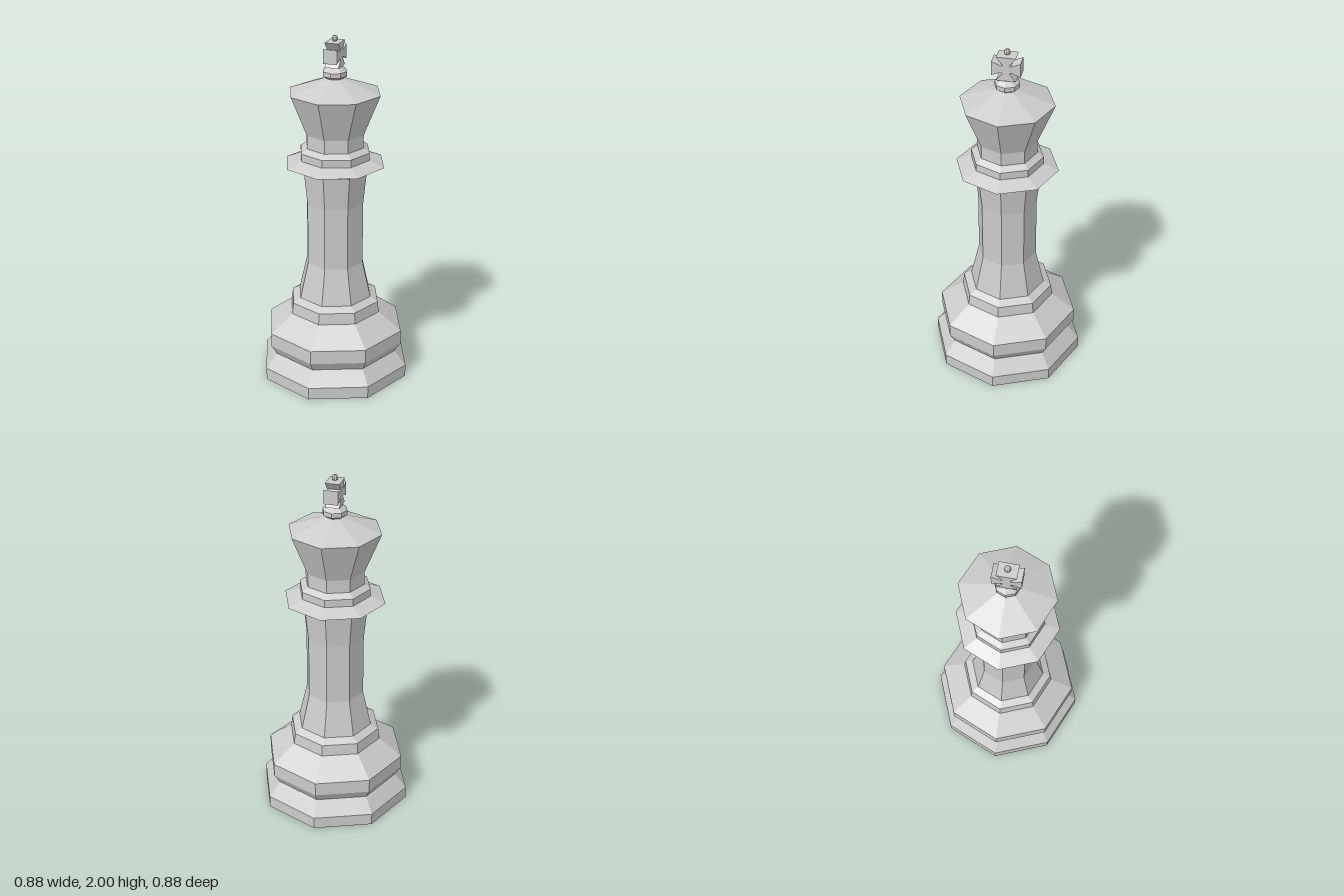
import * as THREE from 'three';

const grey = new THREE.MeshStandardMaterial({ color: 0xcccccc, flatShading: true });

export function createModel() {
  const group = new THREE.Group();
  const add = (name, geometry) => {
    const mesh = new THREE.Mesh(geometry, grey);
    mesh.name = name;
    group.add(mesh);
    return mesh;
  };
  // Eight-sided turned part from [radius, height] pairs, bottom to top
  const turned = (name, profile) =>
    add(name, new THREE.LatheGeometry(profile.map(([r, y]) => new THREE.Vector2(r, y)), 8));

  // Stepped foot
  turned('base', [
    [0, 0], [0.438, 0], [0.438, 0.07], [0.37, 0.153], [0.404, 0.208],
    [0.404, 0.288], [0.27, 0.39], [0.262, 0.455], [0.217, 0.48],
  ]);

  // Waisted column
  turned('shaft', [[0.217, 0.48], [0.168, 0.69], [0.168, 1.05], [0.188, 1.24]]);

  // Wide sharp ring with a smaller band above
  turned('collar', [
    [0.188, 1.24], [0.288, 1.277], [0.203, 1.312], [0.203, 1.355], [0.168, 1.38],
  ]);

  // Flared head with a shallow conical top
  turned('head', [[0.168, 1.38], [0.168, 1.455], [0.261, 1.685], [0.04, 1.765], [0, 1.765]]);

  // Knob under the cross
  turned('knob', [[0.04, 1.758], [0.069, 1.777], [0.069, 1.803], [0.042, 1.828], [0, 1.828]]);

  // Cross with flared arms, lying in the yz plane
  const quarter = [[0.053, 0.068], [0.018, 0.024], [0.026, 0.018], [0.078, 0.04]];
  const mirrored = (sx, sy) => quarter.map(([x, y]) => new THREE.Vector2(x * sx, y * sy));
  const outline = [
    ...mirrored(1, 1).reverse(), ...mirrored(-1, 1),
    ...mirrored(-1, -1).reverse(), ...mirrored(1, -1),
  ];
  const crossGeometry = new THREE.ExtrudeGeometry(new THREE.Shape(outline), {
    depth: 0.078, bevelEnabled: false,
  });
  crossGeometry.translate(0, 0, -0.039).rotateY(Math.PI / 2);
  add('cross', crossGeometry).position.y = 1.897;

  // Small bead on top
  add('finial', new THREE.SphereGeometry(0.018, 8, 6)).position.y = 1.982;

  return group;
}
